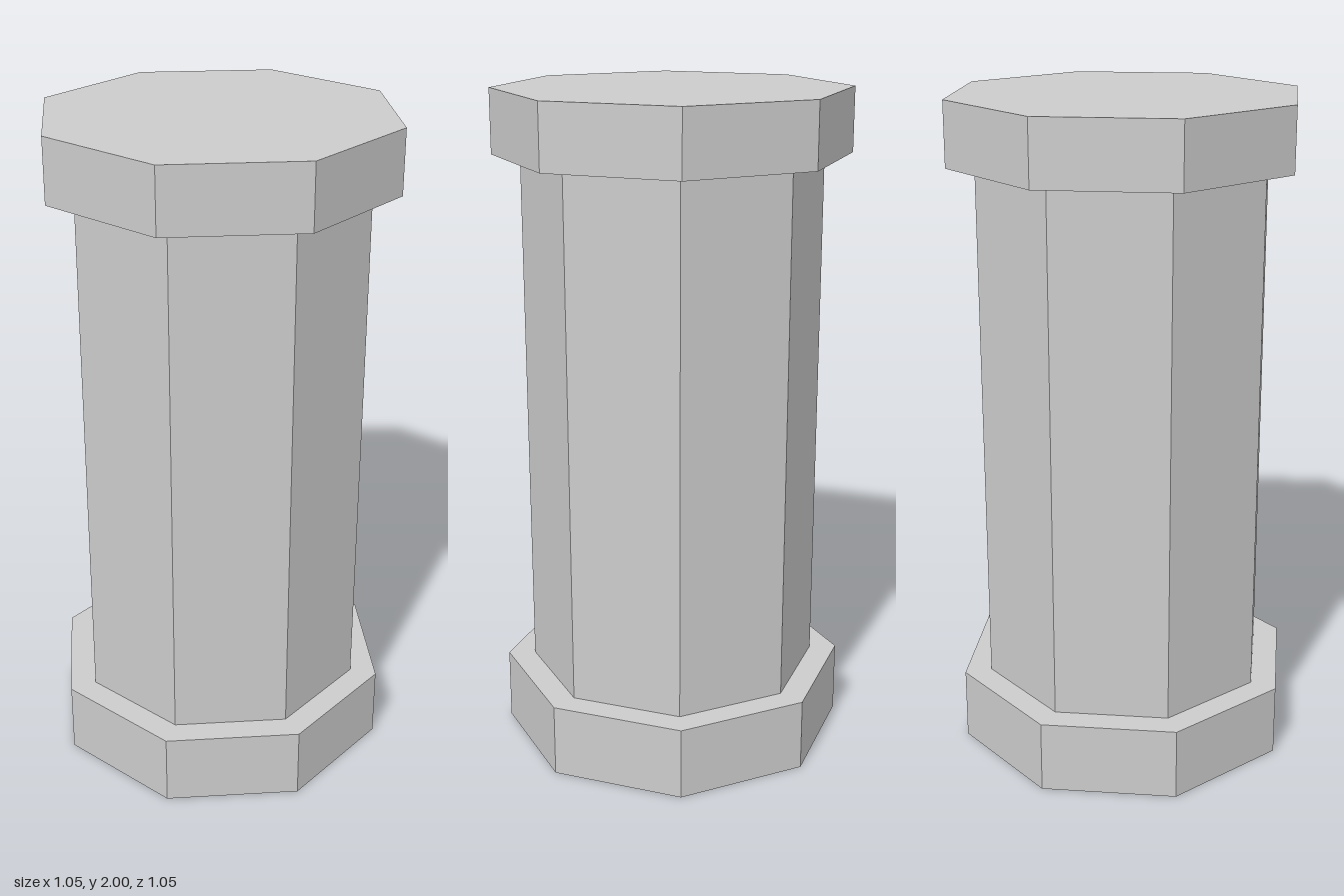
import * as THREE from 'three';

const SIDES = 8;

export function createModel() {
  const group = new THREE.Group();
  group.name = 'column';
  const material = new THREE.MeshStandardMaterial({ color: 0xcccccc, flatShading: true });

  // Octagonal prism from height y0 to y1, with a corner facing the front
  const addPrism = (name, radius, y0, y1, openEnded = false) => {
    const geometry = new THREE.CylinderGeometry(radius, radius, y1 - y0, SIDES, 1, openEnded);
    const mesh = new THREE.Mesh(geometry, material);
    mesh.name = name;
    mesh.position.y = (y0 + y1) / 2;
    group.add(mesh);
  };

  addPrism('base', 0.526, 0, 0.22);
  addPrism('shaft', 0.443, 0.22, 1.81, true); // ends are hidden by base and capital
  addPrism('capital', 0.526, 1.81, 2);

  return group;
}
